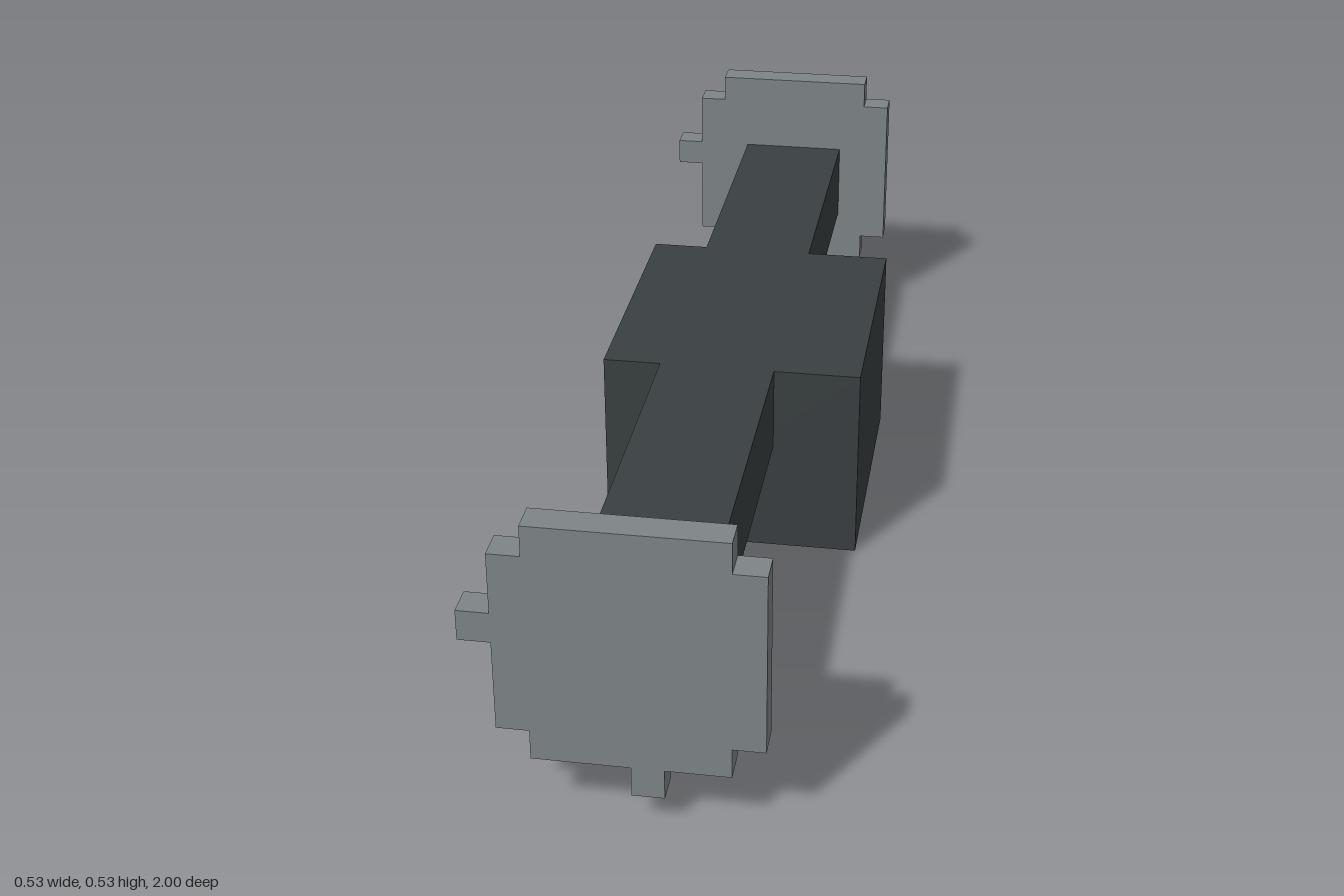
import * as THREE from 'three';

// Everything sits on a grid of 38 units along the longest side.
const U = 2 / 38;

// Stepped half of the wheel outline, clockwise tabs included (grid units).
const OUTLINE = [
  [-3, 2], [0, 2], [0, 1], [1, 1], [1, 2], [3, 2],    // bottom edge with tab
  [3, 3], [4, 3], [4, 9], [3, 9], [3, 10],            // +x side
  [-3, 10], [-3, 9], [-4, 9],                         // top edge
  [-4, 7], [-5, 7], [-5, 6], [-4, 6], [-4, 3], [-3, 3] // -x side with tab
];

export function createModel() {
  const model = new THREE.Group();
  model.name = 'axle';
  const dark = new THREE.MeshStandardMaterial({ color: 0x3a3f41 });
  const steel = new THREE.MeshStandardMaterial({ color: 0x7e8587 });

  const add = (name, geometry, material) => {
    const mesh = new THREE.Mesh(geometry, material);
    mesh.name = name;
    model.add(mesh);
    return mesh;
  };

  // Box given by its lower and upper corners in grid units
  const box = (name, [x0, y0, z0], [x1, y1, z1]) => {
    const geometry = new THREE.BoxGeometry((x1 - x0) * U, (y1 - y0) * U, (z1 - z0) * U);
    add(name, geometry, dark).position.set((x0 + x1) / 2 * U, (y0 + y1) / 2 * U, (z0 + z1) / 2 * U);
  };

  // Central housing, set off-centre, and the shafts leaving it at both ends
  box('housing', [-4, 0, -7], [5, 7, 3]);
  box('frontShaft', [-2, 4, 3], [2, 7, 18]);
  box('backShaft', [-2, 4, -18], [2, 7, -7]);

  // Stepped plates capping both shafts
  const shape = new THREE.Shape(OUTLINE.map(([x, y]) => new THREE.Vector2(x * U, y * U)));
  const plate = new THREE.ExtrudeGeometry(shape, { depth: U, bevelEnabled: false });
  add('frontPlate', plate, steel).position.z = 18 * U;
  add('backPlate', plate, steel).position.z = -19 * U;

  return model;
}
